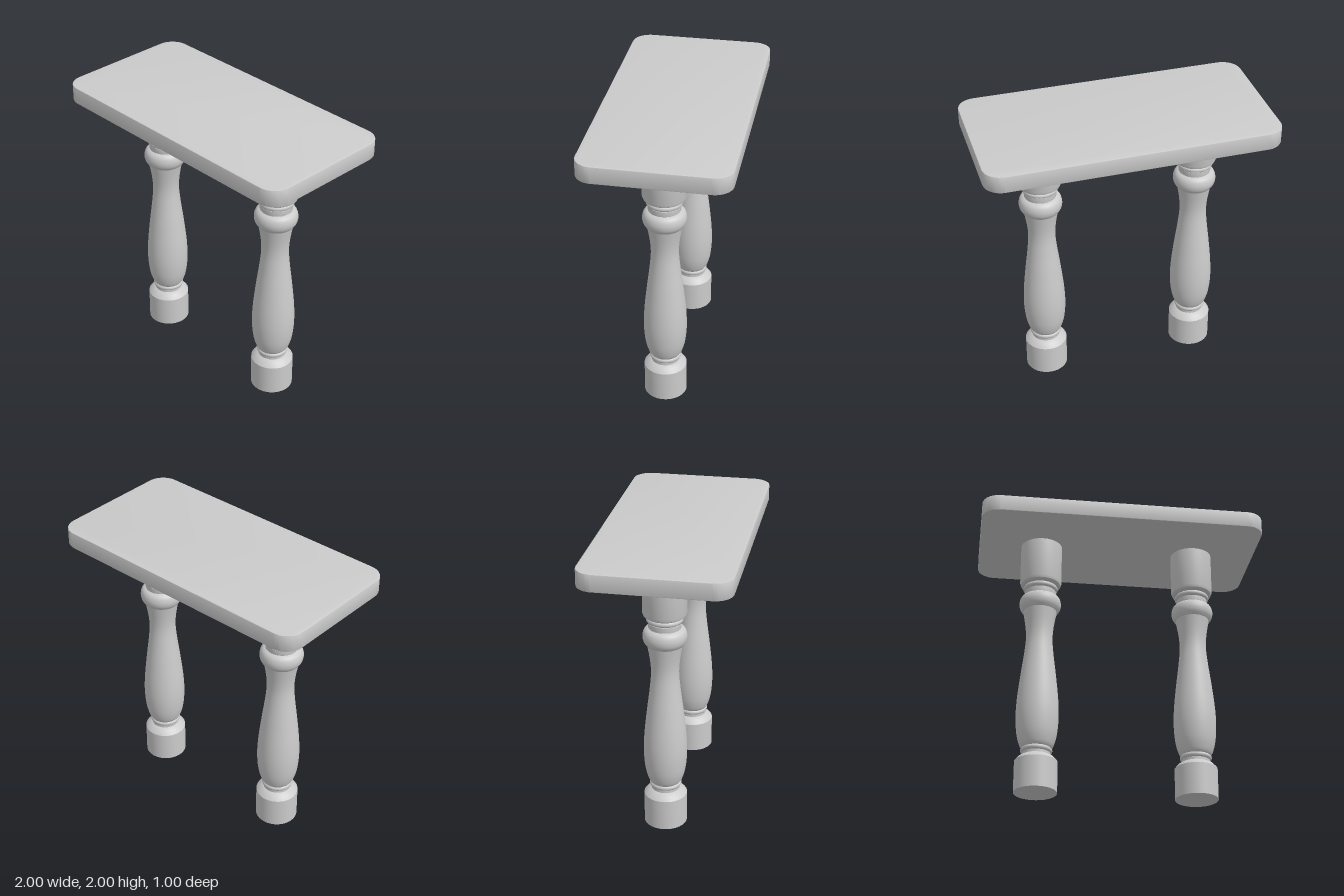
import * as THREE from 'three';
import { mergeGeometries, toCreasedNormals } from 'three/addons/utils/BufferGeometryUtils.js';

const material = new THREE.MeshStandardMaterial({ color: 0xcccccc });
const vecs = (list) => list.map(([r, y]) => new THREE.Vector2(r, y));

// Turned section with straight, sharp-edged steps
function stepped(list) {
  return toCreasedNormals(new THREE.LatheGeometry(vecs(list), 48), 0.4);
}

// Turned section following a smooth curve
function curved(list, steps) {
  const curve = new THREE.SplineCurve(vecs(list));
  return new THREE.LatheGeometry(curve.getPoints(steps), 48).toNonIndexed();
}

// Rounded ring of outer radius r between two heights
function ring(r, y0, y1) {
  const h = (y1 - y0) / 2, pts = [];
  for (let i = 0; i <= 8; i++) {
    const a = -Math.PI / 2 + (i / 8) * Math.PI;
    pts.push([r - h + Math.cos(a) * h, (y0 + y1) / 2 + Math.sin(a) * h]);
  }
  return new THREE.LatheGeometry(vecs(pts), 48).toNonIndexed();
}

function makeLeg(name, x) {
  const leg = new THREE.Group();
  leg.name = name;
  leg.position.x = x;
  const add = (part, geometries) => {
    const mesh = new THREE.Mesh(mergeGeometries(geometries), material);
    mesh.name = part;
    leg.add(mesh);
  };
  // Foot with chamfered shoulder and neck
  add('foot', [stepped([[0, 0], [0.148, 0], [0.148, 0.22], [0.125, 0.247], [0.103, 0.26], [0.098, 0.262], [0.098, 0.29]])]);
  add('lowerRing', [ring(0.11, 0.28, 0.318)]);
  // Vase-shaped shaft
  add('shaft', [curved([
    [0.098, 0.31], [0.117, 0.34], [0.138, 0.42], [0.148, 0.54], [0.143, 0.68],
    [0.124, 0.86], [0.104, 1.02], [0.094, 1.14], [0.1, 1.24], [0.12, 1.36],
  ], 48)]);
  // Bulging bead, flat underneath
  add('bead', [
    stepped([[0.1, 1.355], [0.125, 1.355]]),
    curved([[0.125, 1.355], [0.142, 1.382], [0.148, 1.415], [0.142, 1.447], [0.128, 1.467], [0.108, 1.478]], 20),
  ]);
  // Collar and ring under the top block
  add('collar', [stepped([[0.108, 1.475], [0.11, 1.48], [0.11, 1.515], [0.1, 1.52], [0.1, 1.57]])]);
  add('upperRing', [ring(0.123, 1.517, 1.556)]);
  add('topBlock', [stepped([[0.09, 1.56], [0.13, 1.56], [0.141, 1.568], [0.148, 1.588], [0.148, 1.885]])]);
  return leg;
}

function makeTop() {
  const w = 1, d = 0.5, r = 0.125, bevel = 0.006;
  const s = new THREE.Shape();
  s.absarc(w - r, d - r, r, 0, Math.PI / 2);
  s.absarc(r - w, d - r, r, Math.PI / 2, Math.PI);
  s.absarc(r - w, r - d, r, Math.PI, Math.PI * 1.5);
  s.absarc(w - r, r - d, r, Math.PI * 1.5, Math.PI * 2);
  s.closePath();
  const geometry = new THREE.ExtrudeGeometry(s, {
    depth: 0.12 - 2 * bevel, curveSegments: 12, bevelEnabled: true,
    bevelThickness: bevel, bevelSize: bevel, bevelOffset: -bevel, bevelSegments: 2,
  });
  geometry.rotateX(-Math.PI / 2).translate(0, 1.88 + bevel, 0);
  const mesh = new THREE.Mesh(toCreasedNormals(geometry, 0.5), material);
  mesh.name = 'tableTop';
  return mesh;
}

export function createModel() {
  const model = new THREE.Group();
  model.name = 'table';
  model.add(makeTop(), makeLeg('leftLeg', 0.55), makeLeg('rightLeg', -0.55));
  return model;
}
